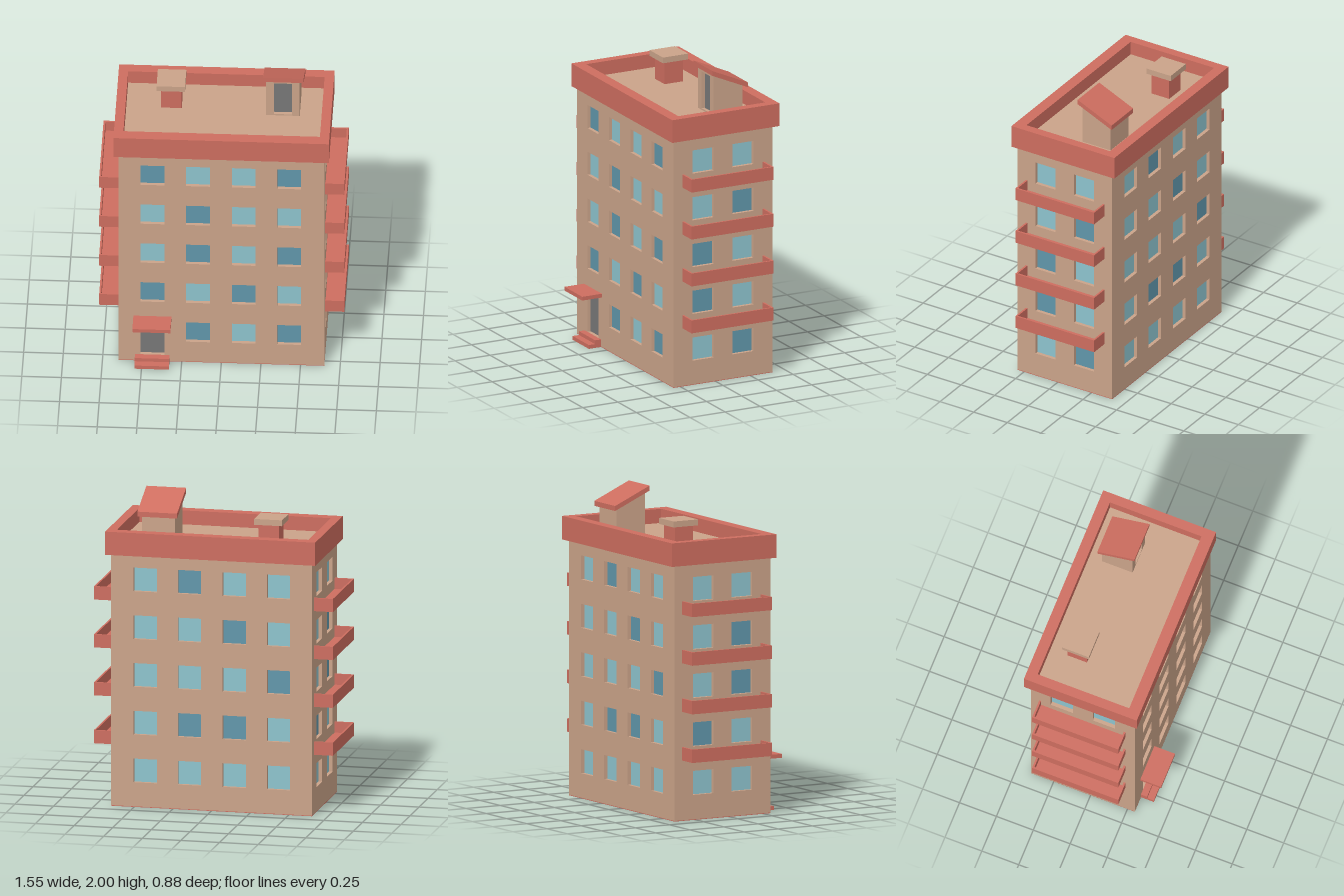
import * as THREE from 'three';

const mat = (name, color) => {
  const m = new THREE.MeshStandardMaterial({ color });
  m.name = name;
  return m;
};

export function createModel() {
  const wallTan = mat('wall tan', 0xcaa389);
  const trimRed = mat('trim red', 0xcd6d5f);
  const glassLight = mat('light glass', 0x8dc3cd);
  const glassDark = mat('dark glass', 0x6096aa);
  const doorGrey = mat('door grey', 0x777777);

  const model = new THREE.Group();
  model.name = 'apartmentBlock';

  const add = (parent, name, geometry, material) => {
    const mesh = new THREE.Mesh(geometry, material);
    mesh.name = name;
    parent.add(mesh);
    return mesh;
  };

  // Box given by its lower and upper limits on each axis
  const box = (parent, name, material, x0, x1, y0, y1, z0, z1) => {
    const mesh = add(parent, name, new THREE.BoxGeometry(x1 - x0, y1 - y0, z1 - z0), material);
    mesh.position.set((x0 + x1) / 2, (y0 + y1) / 2, (z0 + z1) / 2);
    return mesh;
  };

  const rect = (Type, x0, x1, y0, y1) => new Type([
    new THREE.Vector2(x0, y0), new THREE.Vector2(x1, y0),
    new THREE.Vector2(x1, y1), new THREE.Vector2(x0, y1),
  ]);
  const extrude = (shape, depth) => new THREE.ExtrudeGeometry(shape, { depth, bevelEnabled: false });

  // Wall panel with recessed openings; its outer face is at local z = 0
  const RECESS = 0.025;
  const panel = (parent, name, x0, x1, y0, y1, openings) => {
    const group = new THREE.Group();
    group.name = name;
    const shape = rect(THREE.Shape, x0, x1, y0, y1);
    openings.forEach((o) => {
      shape.holes.push(rect(THREE.Path, o.x0, o.x1, o.y0, o.y1));
      box(group, o.name, o.material, o.x0, o.x1, o.y0, o.y1, -RECESS - 0.006, -RECESS + 0.002);
    });
    add(group, name + 'Surface', extrude(shape, RECESS).translate(0, 0, -RECESS), wallTan);
    parent.add(group);
    return group;
  };

  // Facades: rows run from top to bottom; L light pane, D dark pane, X door
  const facade = (name, x0, x1, columns, rows) => {
    const openings = [];
    rows.forEach((row, r) => [...row].forEach((kind, c) => {
      const y = 0.16 + (4 - r) * 0.309;
      const isDoor = kind === 'X';
      openings.push({
        name: isDoor ? 'frontDoor' : 'window',
        material: isDoor ? doorGrey : kind === 'L' ? glassLight : glassDark,
        x0: columns[c] - 0.075, x1: columns[c] + 0.075,
        y0: isDoor ? 0.05 : y, y1: y + 0.153,
      });
    }));
    return panel(model, name, x0, x1, 0.004, 1.63, openings);
  };

  const front = facade('frontWall', -0.65, 0.65, [-0.435, -0.148, 0.142, 0.428],
    ['DLLD', 'LDLL', 'LDLD', 'DLDL', 'XDLD']);
  front.position.z = 0.3;

  const back = facade('backWall', -0.65, 0.65, [-0.428, -0.142, 0.148, 0.435],
    ['LDLL', 'LLDL', 'LLLD', 'LDDL', 'LLLL']);
  back.rotation.y = Math.PI;
  back.position.z = -0.405;

  const left = facade('leftWall', -0.275, 0.38, [-0.09, 0.195], ['LL', 'LD', 'DL', 'DL', 'LD']);
  left.rotation.y = Math.PI / 2;
  left.position.x = 0.65;

  const right = facade('rightWall', -0.38, 0.275, [-0.195, 0.09], ['LL', 'LD', 'LD', 'DL', 'LL']);
  right.rotation.y = -Math.PI / 2;
  right.position.x = -0.65;

  box(model, 'basePlate', trimRed, -0.65, 0.65, 0, 0.004, -0.405, 0.3);

  // Parapet ring with the flat roof set inside it
  const ring = rect(THREE.Shape, -0.68, 0.68, -0.325, 0.44);
  ring.holes.push(rect(THREE.Path, -0.62, 0.62, -0.25, 0.37));
  add(model, 'parapet', extrude(ring, 0.15).rotateX(-Math.PI / 2).translate(0, 1.63, 0), trimRed);
  box(model, 'flatRoof', wallTan, -0.62, 0.62, 1.64, 1.69, -0.37, 0.25);

  // Balconies: open trays on both sides, one per upper floor
  for (const side of [-1, 1]) {
    for (let i = 0; i < 4; i++) {
      const balcony = new THREE.Group();
      balcony.name = side > 0 ? 'leftBalcony' : 'rightBalcony';
      box(balcony, 'balconyFloor', trimRed, -0.0625, 0.0625, 0, 0.015, -0.348, 0.237);
      const rail = side * 0.0565;
      box(balcony, 'balconyFront', trimRed, rail - 0.006, rail + 0.006, 0.015, 0.085, -0.348, 0.237);
      const inner = side > 0 ? [-0.0625, 0.0505] : [-0.0505, 0.0625];
      box(balcony, 'balconyEnd', trimRed, ...inner, 0.015, 0.085, -0.348, -0.336);
      box(balcony, 'balconyEnd', trimRed, ...inner, 0.015, 0.085, 0.225, 0.237);
      balcony.position.set(side * 0.7115, 0.385 + i * 0.31, 0);
      model.add(balcony);
    }
  }

  // Entrance
  box(model, 'lowerStep', trimRed, -0.545, -0.327, 0, 0.025, 0.3, 0.387);
  box(model, 'upperStep', trimRed, -0.545, -0.327, 0.025, 0.05, 0.3, 0.342);
  box(model, 'entranceCanopy', trimRed, -0.555, -0.315, 0.33, 0.355, 0.3, 0.44);

  // Chimney
  box(model, 'chimneyStack', trimRed, -0.402, -0.27, 1.69, 1.837, -0.255, -0.123);
  box(model, 'chimneyCap', wallTan, -0.428, -0.248, 1.837, 1.875, -0.28, -0.1);

  // Roof hut: side outlines are drawn as (-z, y) and swept along x
  const sweep = (name, material, points, x0, x1) => {
    const shape = new THREE.Shape(points.map(([z, y]) => new THREE.Vector2(-z, y)));
    add(model, name, extrude(shape, x1 - x0).rotateY(Math.PI / 2).translate(x0, 0, 0), material);
  };
  sweep('hutBody', wallTan,
    [[-0.102, 1.69], [-0.285, 1.69], [-0.285, 1.875], [-0.102, 1.953]], 0.265, 0.477);
  const hutFront = panel(model, 'hutFront', 0.265, 0.477, 1.69, 1.957, [
    { name: 'hutDoor', material: doorGrey, x0: 0.315, x1: 0.428, y0: 1.7, y1: 1.943 },
  ]);
  hutFront.position.z = -0.077;
  sweep('hutRoof', trimRed,
    [[-0.056, 1.968], [-0.308, 1.857], [-0.308, 1.889], [-0.056, 2]], 0.245, 0.502);

  return model;
}
